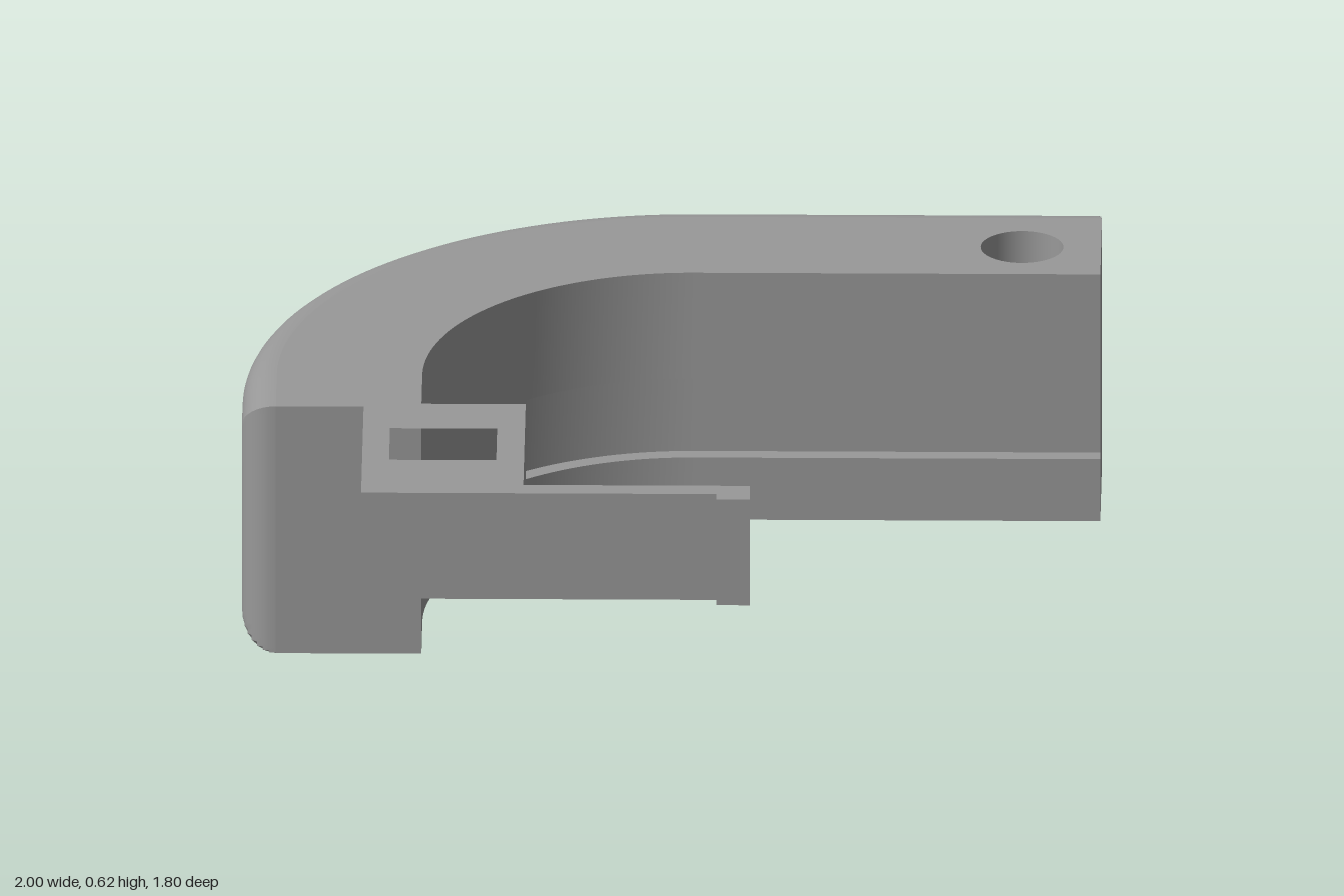
import * as THREE from 'three';
import { toCreasedNormals } from 'three/addons/utils/BufferGeometryUtils.js';

const H = 0.625, W = 0.42, R = 0.08;       // arm height, width, outer edge radius
const CX = 0.05, CZ = 0.15, RO = 1.05;     // bend centre and outer radius
const END_Z = 0.345, STEPS = 8;
const LEDGE_LOW = 0.157, LEDGE_HIGH = 0.357, GROOVE = 0.04;

// Quarter-round table: [distance from the edge, inset of the wall]
const round = Array.from({ length: STEPS + 1 }, (_, i) => {
  const t = (i / STEPS) * Math.PI / 2;
  return [R * (1 - Math.cos(t)), R * (1 - Math.sin(t))];
});

// Stations along the outer wall: position, inward normal, end rounding
function makeStations() {
  const list = [];
  for (const [s, inset] of round) list.push({ x: CX - RO, z: END_Z - s, nx: 1, nz: 0, inset });
  const n = 40;
  for (let i = 0; i <= n; i++) {
    const a = (i / n) * Math.PI / 2, c = Math.cos(a), k = Math.sin(a);
    list.push({ x: CX - RO * c, z: CZ - RO * k, nx: c, nz: k, inset: 0 });
  }
  for (const [s, inset] of [...round].reverse()) list.push({ x: 1 - s, z: CZ - RO, nx: 0, nz: 1, inset });
  return list;
}

// Skin a section of [inset, height] points along the stations
function sweep(stations, section) {
  const pos = [], index = [];
  const m = section(stations[0]).length;
  stations.forEach((s, i) => {
    section(s).forEach(([w, y], j) => {
      pos.push(s.x + s.nx * w, y, s.z + s.nz * w);
      if (i < stations.length - 1 && j < m - 1) {
        const a = i * m + j, b = a + 1, c = a + m, d = c + 1;
        index.push(a, b, c, b, d, c);
      }
    });
  });
  const g = new THREE.BufferGeometry();
  g.setAttribute('position', new THREE.Float32BufferAttribute(pos, 3));
  g.setIndex(index);
  return toCreasedNormals(g, 0.5);
}

const shapeOf = pts => new THREE.Shape(pts.map(([x, y]) => new THREE.Vector2(x, y)));

export function createModel() {
  const group = new THREE.Group();
  const grey = new THREE.MeshStandardMaterial({ color: 0x999999 });
  const add = (name, geometry, parent = group) => {
    const mesh = new THREE.Mesh(geometry, grey);
    mesh.name = name;
    parent.add(mesh);
    return mesh;
  };

  // Curved arm
  const arm = new THREE.Group();
  arm.name = 'curvedArm';
  group.add(arm);
  const stations = makeStations();

  const wall = [
    ...round.map(([y, d]) => [d, y]),
    ...[...round].reverse().map(([y, d]) => [d, H - y]),
  ];
  add('outerWall', sweep(stations, s => wall.map(([d, y]) => [Math.max(d, s.inset), y])), arm);

  const inner = [
    [W, H], [W, LEDGE_HIGH], [W - GROOVE, LEDGE_HIGH],
    [W - GROOVE, LEDGE_LOW], [W, LEDGE_LOW], [W, 0],
  ];
  add('groovedInnerWall', sweep(stations, () => inner), arm);

  // Top and bottom faces with the screw hole
  const hole = { x: 0.815, z: -0.645, r: 0.097 };
  const face = sign => {
    const edge = w => stations.map(s => [s.x + s.nx * w, sign * (s.z + s.nz * w)]);
    const shape = shapeOf([...edge(R), ...edge(W).reverse()]);
    shape.holes.push(new THREE.Path().absarc(hole.x, sign * hole.z, hole.r, 0, Math.PI * 2));
    return new THREE.ShapeGeometry(shape, 24).rotateX(sign * Math.PI / 2);
  };
  add('topFace', face(-1), arm).position.y = H;
  add('bottomFace', face(1), arm);

  // Hole lining, turned to face inward
  const lining = new THREE.CylinderGeometry(hole.r, hole.r, H, 48, 1, true).scale(-1, 1, 1);
  const nrm = lining.attributes.normal;
  for (let i = 0; i < nrm.count; i++) nrm.setXYZ(i, -nrm.getX(i), 0, -nrm.getZ(i));
  add('screwHole', lining, arm).position.set(hole.x, H / 2, hole.z);

  // End faces
  const section = [[R, 0], [R, H], ...inner];
  add('frontEnd', new THREE.ShapeGeometry(shapeOf(section.map(([w, y]) => [CX - RO + w, y]))), arm)
    .position.z = END_Z;
  add('sideEnd', new THREE.ShapeGeometry(shapeOf(section.map(([w, y]) => [RO - CZ - w, y])))
    .rotateY(Math.PI / 2), arm).position.x = 1;

  // Clip block with square hole, thin bar and hooked tip
  const clip = shapeOf([
    [-0.715, -END_Z], [-0.58, -END_Z], [-0.58, -0.325], [-0.335, -0.325],
    [-0.335, -0.817], [0.195, -0.817], [0.195, -0.9], [0.117, -0.9],
    [0.117, -0.868], [-0.715, -0.868],
  ]);
  clip.holes.push(shapeOf([[-0.652, -0.475], [-0.4, -0.475], [-0.4, -0.667], [-0.652, -0.667]]));
  const clipGeo = new THREE.ExtrudeGeometry(clip, { depth: H - LEDGE_HIGH, bevelEnabled: false });
  add('clip', clipGeo.rotateX(-Math.PI / 2)).position.y = LEDGE_HIGH;

  return group;
}
